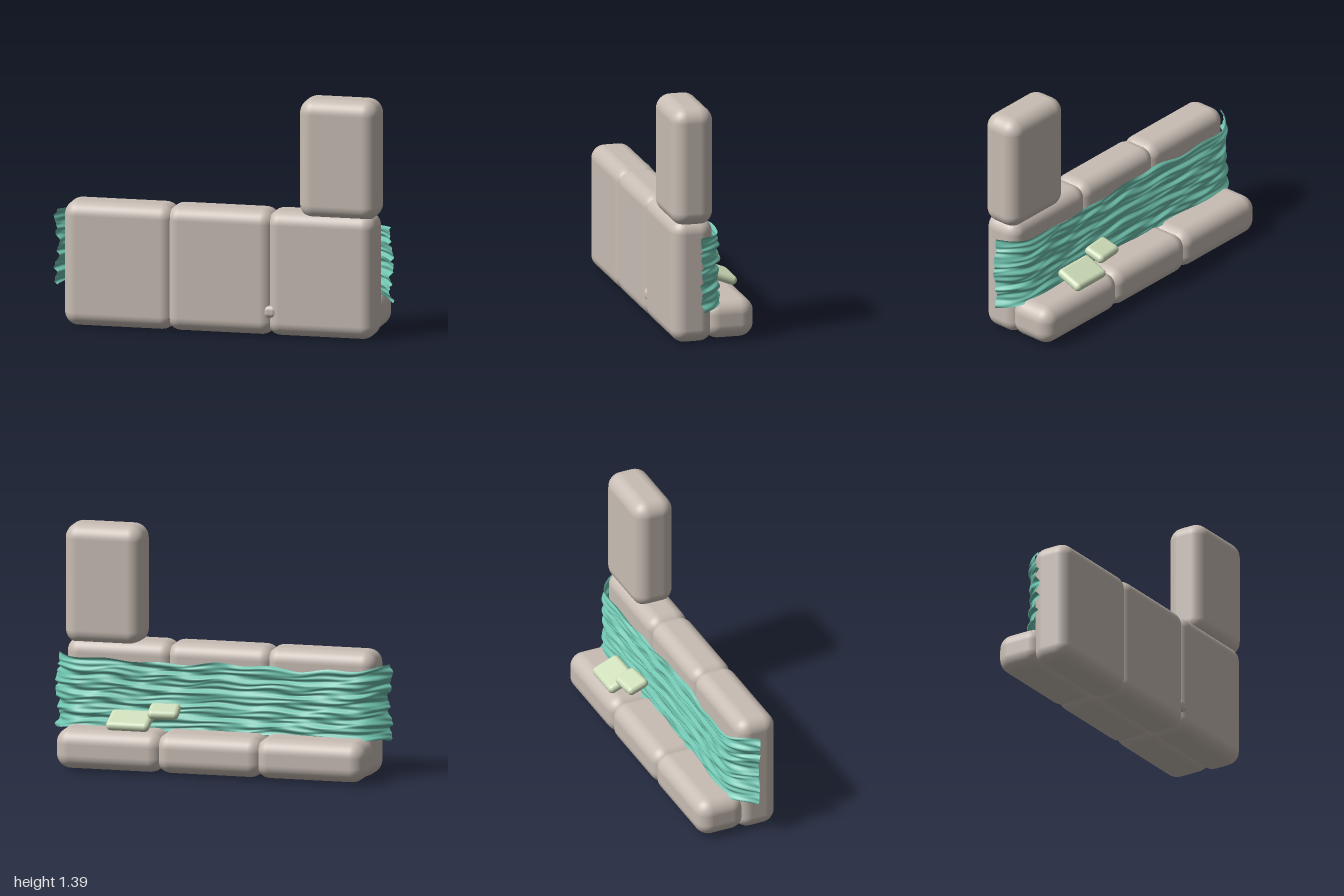
import * as THREE from 'three';
import { RoundedBoxGeometry } from 'three/addons/geometries/RoundedBoxGeometry.js';

const fabric = new THREE.MeshStandardMaterial({ color: 0xc8bdb4 });
fabric.name = 'beigeFabric';
const throwCloth = new THREE.MeshStandardMaterial({ color: 0x70c4b0, side: THREE.DoubleSide });
throwCloth.name = 'tealCloth';
const pillowCloth = new THREE.MeshStandardMaterial({ color: 0xcfdfbb });
pillowCloth.name = 'paleGreenCloth';

// Rounded block given by its minimum and maximum corners
function block(name, min, max, radius, material = fabric) {
  const size = max.map((v, i) => v - min[i]);
  const mesh = new THREE.Mesh(new RoundedBoxGeometry(...size, 5, radius), material);
  mesh.position.set(...max.map((v, i) => (v + min[i]) / 2));
  mesh.name = name;
  return mesh;
}

function pillow(name, size, position, rotation) {
  const mesh = new THREE.Mesh(new RoundedBoxGeometry(...size, 5, 0.027), pillowCloth);
  mesh.position.set(...position);
  mesh.rotation.set(...rotation);
  mesh.name = name;
  return mesh;
}

// Crumpled cloth: a wavy grid swept along a plan curve that wraps round both ends
function makeThrow() {
  const plan = new THREE.CatmullRomCurve3([
    [-0.985, 0.095], [-0.93, 0.02], [-0.86, -0.03], [-0.77, -0.046], [-0.4, -0.034], [0, -0.028],
    [0.4, -0.032], [0.77, -0.046], [0.86, -0.03], [0.93, 0.02], [0.985, 0.095],
  ].map(([x, z]) => new THREE.Vector3(x, 0, z)));
  const cols = 110, rows = 70;
  const geometry = new THREE.PlaneGeometry(1, 1, cols, rows);
  const pos = geometry.attributes.position;
  for (let i = 0; i < pos.count; i++) {
    const u = pos.getX(i) + 0.5, v = pos.getY(i) + 0.5;
    const end = Math.pow(Math.abs(2 * u - 1), 8);
    const p = plan.getPointAt(u), t = plan.getTangentAt(u);
    // Long, drifting folds that run along the length
    const folds = 0.007 * Math.sin(v * 31 + 3 * Math.sin(u * 5) + u * 4)
      + 0.005 * Math.sin(v * 57 - u * 13 + 2 * Math.sin(u * 9 + v * 4))
      + 0.003 * Math.sin(v * 90 + u * 23);
    // Uneven hems at top, bottom and both ends
    const top = 0.63 + 0.025 * end + 0.008 * Math.sin(u * 17) + 0.005 * Math.sin(u * 41);
    const bottom = 0.235 - 0.025 * end + 0.006 * Math.sin(u * 23 + 1);
    const hem = end * (0.01 * Math.sin(v * 9 + u * 3) + 0.006 * Math.sin(v * 29));
    const flare = 0.012 * Math.pow(1 - v, 6);
    pos.setXYZ(i,
      p.x + t.z * folds + Math.sign(u - 0.5) * hem,
      bottom + (top - bottom) * v + 0.004 * Math.sin(u * 37 + v * 20),
      p.z - t.x * (folds + flare));
  }
  geometry.computeVertexNormals();
  const mesh = new THREE.Mesh(geometry, throwCloth);
  mesh.name = 'drapedThrow';
  return mesh;
}

export function createModel() {
  const model = new THREE.Group();
  model.name = 'sofa';

  // Three back cushions and three seat cushions, slightly overlapping at the seams
  const spans = [[-0.917, -0.264], [-0.314, 0.324], [0.276, 0.917]];
  spans.forEach(([x0, x1], i) => {
    model.add(block(`backCushion${i + 1}`, [x0, 0.005, 0], [x1, 0.732, 0.245], 0.08));
    model.add(block(`seatCushion${i + 1}`, [x0, 0.015, -0.245], [x1, 0.247, 0.05], 0.085));
  });

  // Tall cushion standing on one end of the back
  model.add(block('tallCushion', [0.465, 0.695, 0], [0.93, 1.395, 0.245], 0.085));

  // Small bulge at the lower seam
  model.add(block('seamBulge', [0.26, 0.11, 0.18], [0.345, 0.185, 0.245], 0.03));

  model.add(makeThrow());

  // Loose pillows tilted towards the seat edge
  model.add(pillow('largePillow', [0.255, 0.055, 0.175], [0.492, 0.3, -0.136], [-0.37, 0, 0]));
  model.add(pillow('smallPillow', [0.18, 0.055, 0.135], [0.296, 0.36, -0.115], [-0.3, 0.09, 0.03]));

  return model;
}
